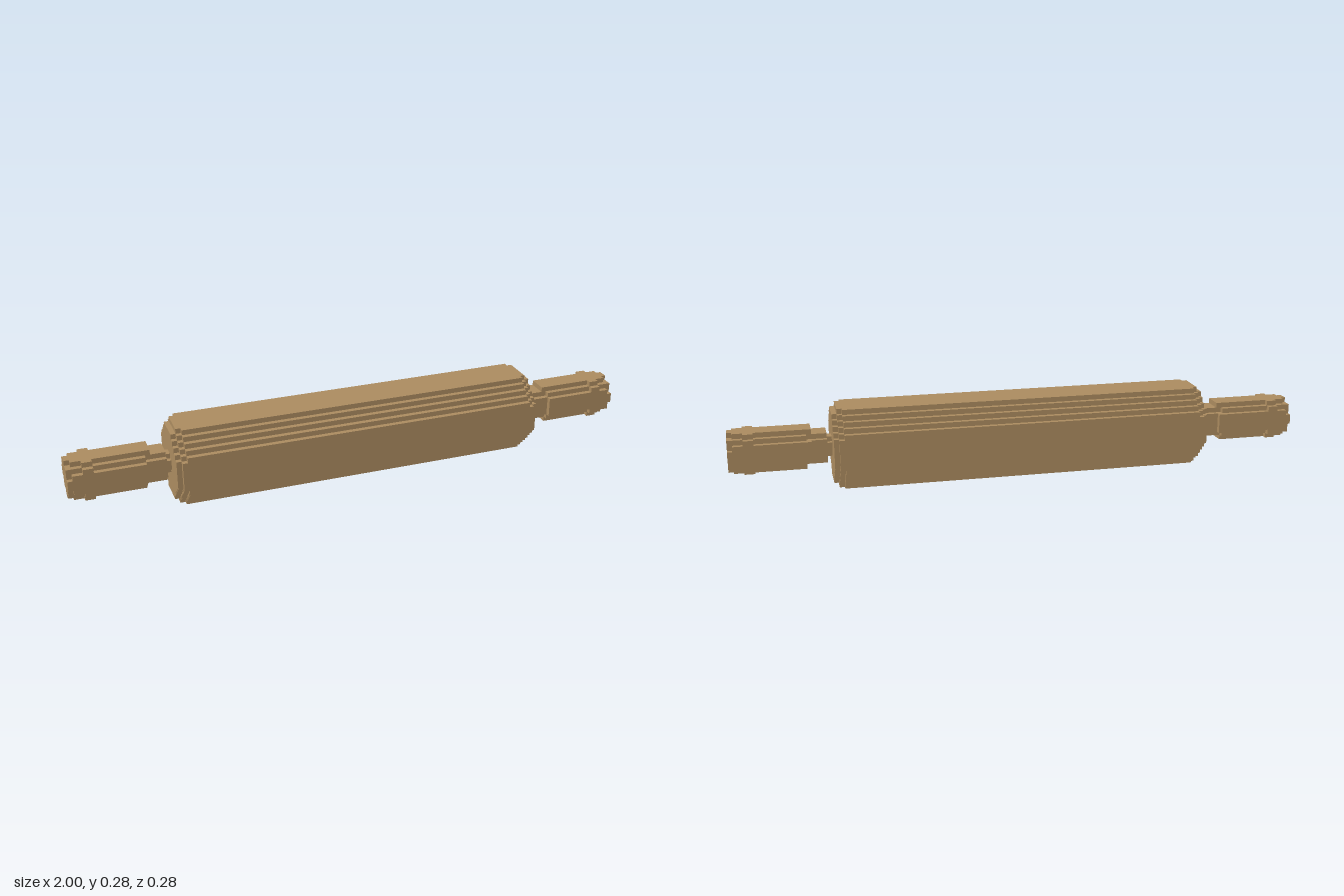
import * as THREE from 'three';

const U = 2 / 116; // one block
const AXIS = 8; // height of the pin's axis in blocks

// Stepped round section: rows[i] is the half width of the row i blocks from the axis.
function steppedSection(rows) {
  const quarter = [];
  rows.forEach((w, i) => {
    if (i === 0 || rows[i - 1] !== w) quarter.push([w, i]);
    if (rows[i + 1] !== w) quarter.push([w, i + 1]);
  });
  const back = [...quarter].reverse();
  const points = [
    ...quarter,
    ...back.map(([x, y]) => [-x, y]),
    ...quarter.slice(1).map(([x, y]) => [-x, -y]),
    ...back.slice(0, -1).map(([x, y]) => [x, -y]),
  ];
  return new THREE.Shape(points.map(([x, y]) => new THREE.Vector2(x * U, y * U)));
}

export function createModel() {
  const model = new THREE.Group();
  model.name = 'rollingPin';
  const wood = new THREE.MeshStandardMaterial({ color: 0xac8c60 });
  wood.name = 'wood';

  // Slab of constant section between x0 and x1
  function slab(parent, name, x0, x1, rows) {
    const geometry = new THREE.ExtrudeGeometry(steppedSection(rows), {
      depth: (x1 - x0) * U, bevelEnabled: false,
    });
    geometry.rotateY(Math.PI / 2);
    geometry.translate(x0 * U, AXIS * U, 0);
    const mesh = new THREE.Mesh(geometry, wood);
    mesh.name = name;
    parent.add(mesh);
  }

  function block(parent, name, size, position) {
    const mesh = new THREE.Mesh(new THREE.BoxGeometry(...size.map((v) => v * U)), wood);
    mesh.position.set(position[0] * U, (AXIS + position[1]) * U, position[2] * U);
    mesh.name = name;
    parent.add(mesh);
  }

  // Roller barrel
  slab(model, 'roller', -36, 36, [8, 8, 8, 8, 7, 6, 5, 4]);

  // Each handle section: name, inner end, outer end, row half widths
  const handleParts = [
    ['neck', 38, 39, [2, 1]],
    ['handleShoulder', 39, 43, [3, 3, 2]],
    ['grip', 43, 53, [4, 4, 3, 2]],
    ['gripCollar', 53, 55, [4, 4, 4, 3]],
    ['gripEnd', 55, 57, [4, 4, 3, 2]],
    ['gripTip', 57, 58, [4, 3, 3, 1]],
  ];
  // Stepped rounding at the ends of the roller
  const rollerEnds = [
    ['rollerEdge', 36, 37, [8, 8, 8, 7, 6, 5, 4, 3]],
    ['rollerEndFace', 37, 38, [7, 7, 7, 6, 5, 4, 3]],
  ];

  for (const side of [1, -1]) {
    const end = new THREE.Group();
    end.name = side > 0 ? 'leftEnd' : 'rightEnd';
    for (const [name, a, b, rows] of [...rollerEnds, ...handleParts]) {
      slab(end, name, side > 0 ? a : -b, side > 0 ? b : -a, rows);
    }
    // Small lips where the grip begins
    block(end, 'topLip', [1, 1, 4], [side * 42.5, 3.5, 0]);
    block(end, 'backLip', [1, 4, 1], [side * 42.5, 0, -3.5]);
    model.add(end);
  }
  return model;
}
